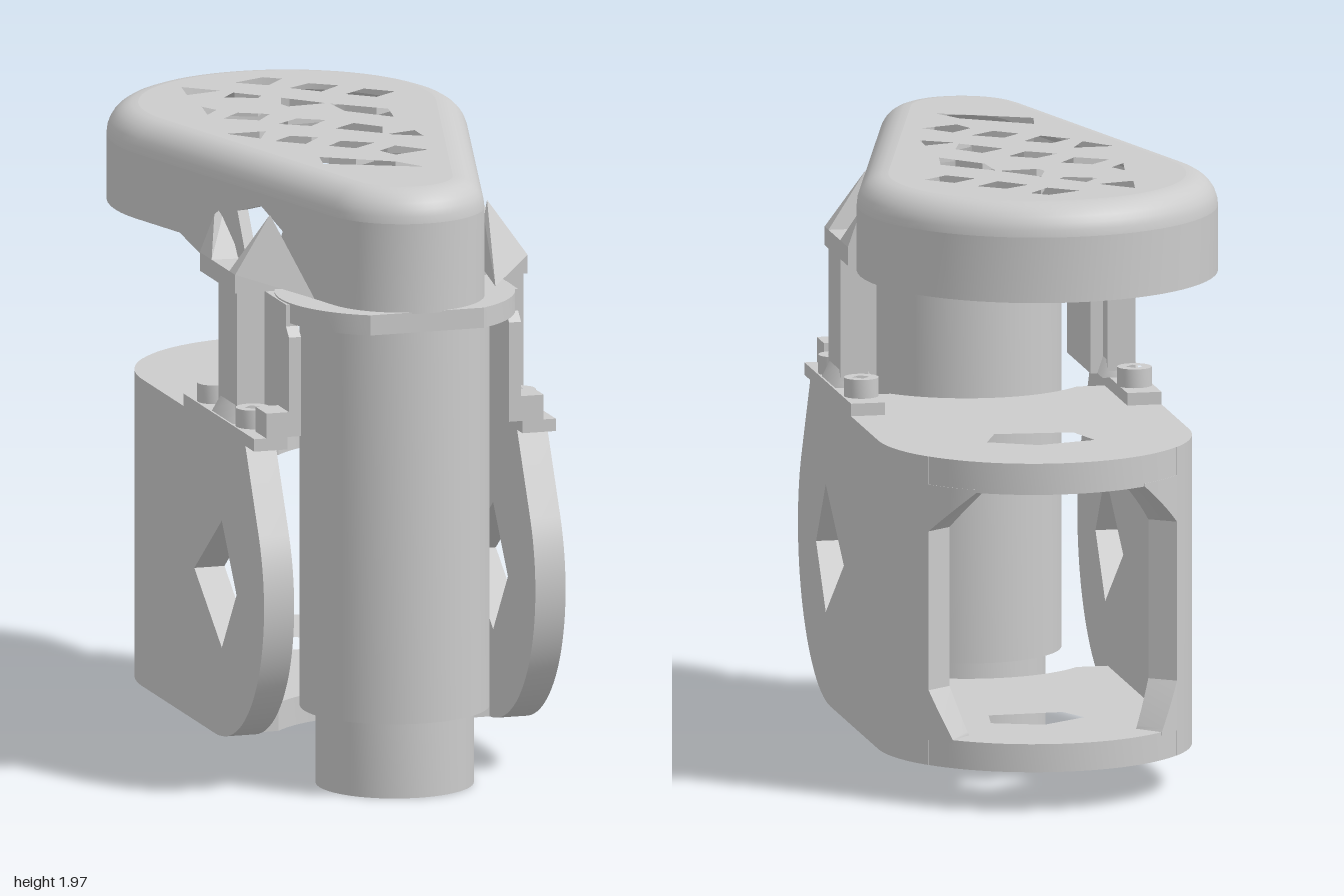
import * as THREE from 'three';
import { toCreasedNormals } from 'three/addons/utils/BufferGeometryUtils.js';
import { ConvexGeometry } from 'three/addons/geometries/ConvexGeometry.js';

const mat = new THREE.MeshStandardMaterial({ color: 0xcccccc });
const matDouble = new THREE.MeshStandardMaterial({ color: 0xcccccc, side: THREE.DoubleSide });

// Cap plan: large circle at the back, small circle at the front, joined by tangents
const BACK = { z: -0.43, r: 0.57 }, FRONT = { z: 0.74, r: 0.26 };
const LEAN = Math.asin((BACK.r - FRONT.r) / (FRONT.z - BACK.z));
const COLUMN_Z = 0.665;

function part(group, name, geo, material = mat) {
  const mesh = new THREE.Mesh(geo, material);
  mesh.name = name;
  group.add(mesh);
  return mesh;
}

function makeShape(pts, holes = []) {
  const shape = new THREE.Shape(pts.map(([x, y]) => new THREE.Vector2(x, y)));
  shape.holes = holes.map(h => new THREE.Path(h.map(([x, y]) => new THREE.Vector2(x, y))));
  return shape;
}

function extrude(pts, holes, depth) {
  const geo = new THREE.ExtrudeGeometry(makeShape(pts, holes), { depth, bevelEnabled: false });
  return toCreasedNormals(geo, 0.5);
}

// Plan points (x, z) raised from y0 to y1
function slab(pts, holes, y0, y1) {
  const flip = list => list.map(([x, z]) => [x, -z]);
  return extrude(flip(pts), holes.map(flip), y1 - y0).rotateX(-Math.PI / 2).translate(0, y0, 0);
}

// Profile points (z, y) spanning x0 to x1
function cheek(pts, holes, x0, x1) {
  return extrude(pts, holes, x1 - x0).rotateY(-Math.PI / 2).translate(x1, 0, 0);
}

function block(x0, x1, y0, y1, z0, z1) {
  return new THREE.BoxGeometry(Math.abs(x1 - x0), y1 - y0, z1 - z0)
    .translate((x0 + x1) / 2, (y0 + y1) / 2, (z0 + z1) / 2);
}

function arc(cx, cy, r, a0, a1, n) {
  return Array.from({ length: n + 1 }, (_, i) => {
    const a = a0 + (a1 - a0) * i / n;
    return [cx + r * Math.cos(a), cy + r * Math.sin(a)];
  });
}

const frontArc = inset => arc(0, FRONT.z, FRONT.r - inset, LEAN, Math.PI - LEAN, 24);
const backArc = inset => arc(0, BACK.z, BACK.r - inset, Math.PI - LEAN, 2 * Math.PI + LEAN, 40);
const teardrop = inset => [...frontArc(inset), ...backArc(inset)];

// Sweep a profile of [inset, y] along a plan curve
function sweep(curve, profile, closed) {
  const rows = profile.map(([inset, y]) => curve(inset).map(([x, z]) => [x, y, z]));
  const n = rows[0].length, index = [];
  for (let j = 0; j < rows.length - 1; j++) {
    for (let i = 0; i < (closed ? n : n - 1); i++) {
      const k = (i + 1) % n, a = j * n, b = (j + 1) * n;
      index.push(a + i, b + i, a + k, a + k, b + i, b + k);
    }
  }
  const geo = new THREE.BufferGeometry();
  geo.setAttribute('position', new THREE.Float32BufferAttribute(rows.flat(2), 3));
  geo.setIndex(index);
  return toCreasedNormals(geo, 0.5);
}

// Curved wall of the body's round back; heights run linearly with the angle
function bentWall(s, a0, a1, low, high) {
  const geo = new THREE.BoxGeometry(1, 1, 1, 1, 1, 14), p = geo.attributes.position;
  for (let i = 0; i < p.count; i++) {
    const t = 0.5 - p.getZ(i), a = a0 + (a1 - a0) * t;
    const r = p.getX(i) * s > 0 ? 0.5 : 0.4;
    const ends = p.getY(i) > 0 ? high : low;
    p.setXYZ(i, s * r * Math.cos(a), ends[0] + (ends[1] - ends[0]) * t, -0.37 - r * Math.sin(a));
  }
  return toCreasedNormals(geo, 0.5);
}

function buildCap() {
  const g = new THREE.Group();
  g.name = 'cap';
  const holes = [
    [[-.25, -.74], [-.15, -.65], [-.27, -.62]],
    [[-.07, -.75], [.04, -.8], [.09, -.76], [.02, -.68]],
    [[.07, -.62], [.15, -.67], [.23, -.61], [.15, -.54]],
    [[.21, -.48], [.29, -.54], [.37, -.47], [.29, -.41]],
    [[-.17, -.55], [-.12, -.61], [-.05, -.54], [-.07, -.51]],
    [[0, -.49], [.11, -.37], [-.02, -.36], [-.03, -.4]],
    [[.12, -.36], [.27, -.23], [.25, -.11], [.13, -.24]],
    [[-.28, -.44], [-.25, -.38], [-.3, -.32]],
    [[-.27, -.25], [-.2, -.32], [-.11, -.27], [-.17, -.19]],
    [[-.13, -.12], [-.05, -.18], [.03, -.13], [-.04, -.06]],
    [[.02, 0], [.1, -.06], [.17, .02], [.14, .11]],
    [[.15, .13], [.25, .1], [.25, .19]],
    [[-.33, -.03], [-.2, -.03], [-.25, .07]],
    [[-.22, .12], [-.15, .06], [-.07, .11], [-.14, .19]],
    [[-.08, .24], [-.02, .18], [.07, .24], [-.01, .3]],
    [[.05, .36], [.12, .3], [.2, .39], [.08, .43]],
    [[-.16, .39], [.05, .53], [.11, .63], [-.18, .49]],
  ];
  part(g, 'capTop', slab(teardrop(0.1), holes, 1.91, 1.97));
  const round = arc(0.1, 1.87, 0.1, Math.PI, Math.PI / 2, 7);
  part(g, 'capRim', sweep(teardrop, [...round, [.1, 1.91], [.04, 1.87], [0, 1.87]], true), matDouble);
  const wall = y => [[0, y], [0, 1.87], [.04, 1.87], [.04, y], [0, y]];
  part(g, 'capBackWall', sweep(backArc, wall(1.66)), matDouble);
  part(g, 'capFrontWall', sweep(frontArc, wall(1.58)), matDouble);

  // Flat side walls, each with a five-sided window
  const z0 = BACK.z + BACK.r * Math.sin(LEAN), x0 = BACK.r * Math.cos(LEAN);
  const z1 = FRONT.z + FRONT.r * Math.sin(LEAN);
  const along = list => list.map(([z, y]) => [(z - z0) / Math.cos(LEAN), y]);
  const outline = along([[z0, 1.66], [-.04, 1.66], [.16, 1.58], [z1, 1.58], [z1, 1.87], [z0, 1.87]]);
  const windowHole = along([[.53, 1.77], [.41, 1.83], [.28, 1.79], [.33, 1.64], [.47, 1.64]]);
  for (const s of [1, -1]) {
    const m = part(g, 'capSideWall', cheek(outline, [windowHole], s > 0 ? -.04 : 0, s > 0 ? 0 : .04));
    m.position.set(s * x0, 0, z0);
    m.rotation.y = -s * LEAN;
  }
  return g;
}

function buildBody() {
  const g = new THREE.Group();
  g.name = 'body';
  // Top and bottom plates, hollowed around the column
  const plan = [[-.499, .4], ...arc(0, -.37, .499, Math.PI, 2 * Math.PI, 40), [.499, .4],
    ...arc(0, COLUMN_Z, .4, -.724, -Math.PI + .724, 20)];
  part(g, 'topPlate', slab(plan, [[[-.17, -.5], [.02, -.55], [.17, -.47], [.12, -.34], [-.13, -.36]]], 1.02, 1.12));
  part(g, 'bottomPlate', slab(plan, [[[-.15, -.44], [0, -.54], [.16, -.48], [.14, -.35], [-.1, -.34]]], .13, .22));
  // Cheeks with a rounded front and a diamond opening
  const profile = [[-.37, 1.12], [-.37, .13], ...arc(.37, .63, .5, -Math.PI / 2, .47, 28), [.68, 1.12]];
  const diamond = [[.59, .62], [.44, .83], [.16, .62], [.44, .42]];
  for (const s of [1, -1]) {
    part(g, 'cheek', cheek(profile, [diamond], s > 0 ? .4 : -.5, s > 0 ? .5 : -.4));
    part(g, 'curvedWall', bentWall(s, 0, .6435, [.13, .13], [1.12, 1.12]), matDouble);
    part(g, 'upperGusset', bentWall(s, .6435, .997, [.88, 1.02], [1.03, 1.03]), matDouble);
    part(g, 'lowerGusset', bentWall(s, .6435, .833, [.21, .21], [.37, .22]), matDouble);
  }
  return g;
}

function buildMount(s) {
  const g = new THREE.Group();
  g.name = s > 0 ? 'leftMount' : 'rightMount';
  part(g, 'foot', block(s * .39, s * .5, 1.12, 1.16, .05, .77));
  part(g, 'post', block(s * .385, s * .475, 1.16, 1.6, .33, .52));
  part(g, 'postBase', new THREE.CylinderGeometry(.085, .15, .08, 4, 1, false, Math.PI / 4)
    .toNonIndexed().scale(.6, 1, 1).translate(s * .43, 1.2, .425));
  // Web between collar and foot
  const web = [[.77, 1.16], [.77, 1.48], [.74, 1.51], [.74, 1.58], [.4, 1.58], [.4, 1.16]];
  part(g, 'web', cheek(web, [], s > 0 ? .345 : -.385, s > 0 ? .385 : -.345));
  part(g, 'webToe', block(s * .37, s * .46, 1.16, 1.24, .66, .77));
  // Ledge below the window, with raised wings on both ends
  part(g, 'ledge', block(s * .3, s * .485, 1.58, 1.64, .17, .53));
  const wing = pts => new ConvexGeometry(pts.map(([x, y, z]) => new THREE.Vector3(s * x, y, z)));
  part(g, 'backWing', wing([[.44, 1.64, .17], [.485, 1.64, .17], [.4, 1.79, .17], [.44, 1.76, .18],
    [.40, 1.64, .3], [.485, 1.64, .29], [.40, 1.58, .17]]));
  part(g, 'frontWing', wing([[.3, 1.6, .77], [.34, 1.77, .53], [.36, 1.82, .5], [.485, 1.64, .53],
    [.34, 1.6, .53], [.485, 1.64, .47], [.36, 1.64, .47]]));
  // Socket-head screws
  for (const z of [.18, .575]) {
    const screw = slab(arc(0, 0, .055, 0, 2 * Math.PI * 23 / 24, 23), [arc(0, 0, .028, 0, 1.5 * Math.PI, 3)], 1.16, 1.22);
    part(g, 'screw', screw.translate(s * .44, 0, z));
  }
  return g;
}

export function createModel() {
  const model = new THREE.Group();
  model.name = 'housing';
  model.add(buildCap(), buildBody(), buildMount(1), buildMount(-1));

  // Upright column with a narrower base and a small socket underneath
  const profile = [[0, .03], [.04, .03], [.04, 0], [.25, 0], [.25, .25], [.3, .25], [.3, 1.53], [0, 1.53]];
  const column = new THREE.LatheGeometry(profile.map(([x, y]) => new THREE.Vector2(x, y)), 48);
  part(model, 'column', toCreasedNormals(column, 0.5).translate(0, 0, COLUMN_Z));

  // Collar disc with a flat at the front
  const flat = Math.asin(.33 / .38);
  part(model, 'collar', slab(arc(0, COLUMN_Z, .38, Math.PI - flat, 2 * Math.PI + flat, 48), [], 1.52, 1.585));
  return model;
}
